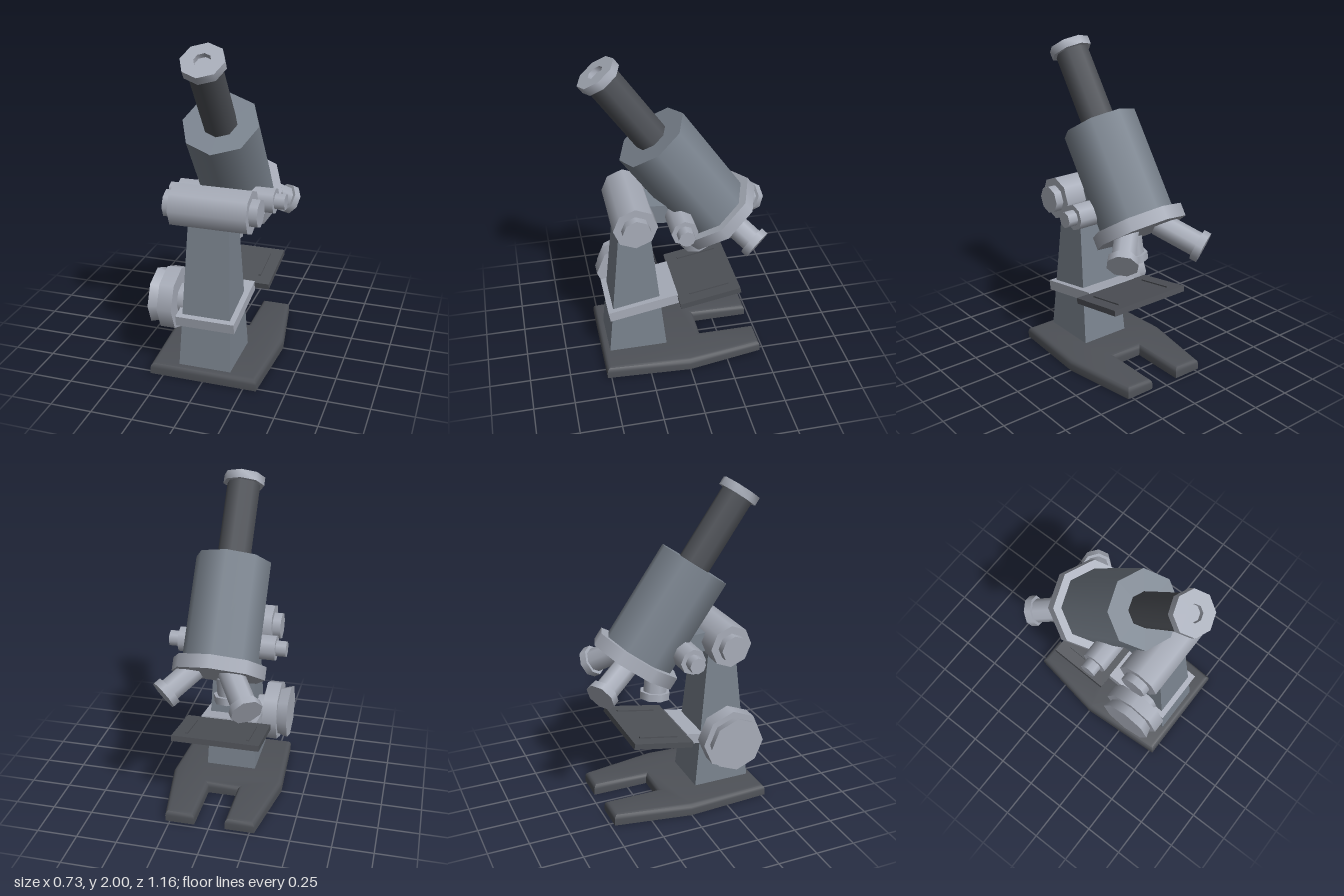
import * as THREE from 'three';
import { toCreasedNormals } from 'three/addons/utils/BufferGeometryUtils.js';

function mat(name, color) {
  const m = new THREE.MeshStandardMaterial({ color });
  m.name = name;
  return m;
}

export function createModel() {
  const slate = mat('slate grey', 0x7a838e);
  const light = mat('light grey metal', 0xa8adb9);
  const dark = mat('charcoal', 0x4e5157);
  const model = new THREE.Group();
  model.name = 'microscope';

  const add = (parent, name, geo, material, x = 0, y = 0, z = 0) => {
    const mesh = new THREE.Mesh(geo, material);
    mesh.name = name;
    mesh.position.set(x, y, z);
    parent.add(mesh);
    return mesh;
  };
  // eight-sided cylinder standing between two heights
  const upright = (parent, name, r, y0, y1, material) =>
    add(parent, name, new THREE.CylinderGeometry(r, r, y1 - y0, 8), material, 0, (y0 + y1) / 2, 0);
  // eight-sided cylinder lying along x, r0 at x0 and r1 at x1
  const across = (name, x0, x1, y, z, r0, r1 = r0) => {
    const geo = new THREE.CylinderGeometry(r0, r1, x1 - x0, 8).rotateZ(Math.PI / 2);
    return add(model, name, geo, light, (x0 + x1) / 2, y, z);
  };

  // Forked base: flat underneath, rounded top edge
  const half = [[0.33, 0.525], [0.36, 0], [0.278, -0.475], [0.095, -0.475], [0.095, -0.12]];
  const outline = [...half, ...half.slice().reverse().map(([x, z]) => [-x, z])];
  const baseShape = new THREE.Shape(outline.map(([x, z]) => new THREE.Vector2(x, -z)));
  let baseGeo = new THREE.ExtrudeGeometry(baseShape, {
    depth: 0.04, bevelThickness: 0.03, bevelSize: 0.03, bevelOffset: -0.03, bevelSegments: 3,
  });
  const p = baseGeo.attributes.position;
  for (let i = 0; i < p.count; i++) p.setZ(i, Math.max(0, p.getZ(i)));
  baseGeo.rotateX(-Math.PI / 2);
  baseGeo = toCreasedNormals(baseGeo, 0.7);
  add(model, 'base', baseGeo, dark);

  // Tapered column
  const colGeo = new THREE.BoxGeometry(1, 1, 1);
  const c = colGeo.attributes.position;
  for (let i = 0; i < c.count; i++) {
    const top = c.getY(i) > 0;
    c.setXYZ(i, c.getX(i) * (top ? 0.245 : 0.32), top ? 1.0 : 0.06,
      0.298 + c.getZ(i) * (top ? 0.175 : 0.368));
  }
  colGeo.computeVertexNormals();
  add(model, 'column', colGeo, slate);

  // Hinge barrel on top of the column, with end caps
  across('hingeBarrel', -0.235, 0.235, 1.03, 0.305, 0.133);
  across('hingeCaps', -0.285, 0.285, 1.03, 0.305, 0.085);

  // Arm from the hinge to the body
  const arm = add(model, 'arm', new THREE.BoxGeometry(0.2, 0.12, 0.3), slate, 0, 1.025, 0.16);
  arm.rotation.x = -0.08;

  // Fine focus knobs through the body
  across('fineFocusKnobs', -0.3, 0.3, 1.005, 0.027, 0.08);
  across('fineFocusTips', -0.363, 0.363, 1.005, 0.027, 0.05);

  // Large focus knob on one side of the column
  across('focusShaft', -0.22, -0.08, 0.425, 0.305, 0.095);
  across('focusKnob', -0.29, -0.2, 0.425, 0.305, 0.195);
  across('focusKnobFace', -0.355, -0.29, 0.425, 0.305, 0.175, 0.155);

  // Stage: collar round the column, plate and two clips
  const stage = new THREE.Group();
  stage.name = 'stage';
  stage.position.set(0, 0.395, 0.257);
  stage.rotation.x = 0.178;
  model.add(stage);
  add(stage, 'stageCollar', new THREE.BoxGeometry(0.36, 0.064, 0.445), light);
  add(stage, 'stagePlate', new THREE.BoxGeometry(0.54, 0.036, 0.385), dark, 0, 0.006, -0.41);
  for (const s of [-1, 1]) {
    add(stage, 'stageClip', new THREE.BoxGeometry(0.016, 0.009, 0.25), dark, s * 0.19, 0.028, -0.42);
  }

  // Tilted optical tube, its origin on top of the flange
  const tube = new THREE.Group();
  tube.name = 'opticalTube';
  tube.position.set(0, 0.984, -0.196);
  tube.rotation.x = THREE.MathUtils.degToRad(35);
  model.add(tube);
  upright(tube, 'body', 0.23, -0.02, 0.626, slate);
  upright(tube, 'flange', 0.283, -0.08, 0, light);
  upright(tube, 'eyepieceTube', 0.102, 0.6, 1.11, dark);

  // Eyepiece cap with a recessed opening
  const capProfile = [[0, 1.1], [0.127, 1.1], [0.127, 1.152], [0.05, 1.152], [0.05, 1.122], [0, 1.122]];
  const capGeo = new THREE.LatheGeometry(capProfile.map(([r, y]) => new THREE.Vector2(r, y)), 8);
  add(tube, 'eyepieceCap', toCreasedNormals(capGeo, 0.9), light);

  // Three objectives of different length: azimuth, tip radius, tip height, splay
  const up = new THREE.Vector3(0, 1, 0);
  for (const [az, r, y, splay] of [[-10, 0.24, -0.195, 29], [110, 0.3, -0.242, 41], [230, 0.31, -0.295, 40]]) {
    const a = THREE.MathUtils.degToRad(az), t = THREE.MathUtils.degToRad(splay);
    const objective = new THREE.Group();
    objective.name = 'objective';
    objective.position.set(Math.sin(a) * r, y, Math.cos(a) * r);
    objective.quaternion.setFromUnitVectors(up,
      new THREE.Vector3(-Math.sin(t) * Math.sin(a), Math.cos(t), -Math.sin(t) * Math.cos(a)));
    tube.add(objective);
    upright(objective, 'objectiveBarrel', 0.074, 0.01, (-0.06 - y) / Math.cos(t), light);
    upright(objective, 'objectiveTip', 0.095, 0, 0.045, light);
  }
  return model;
}
